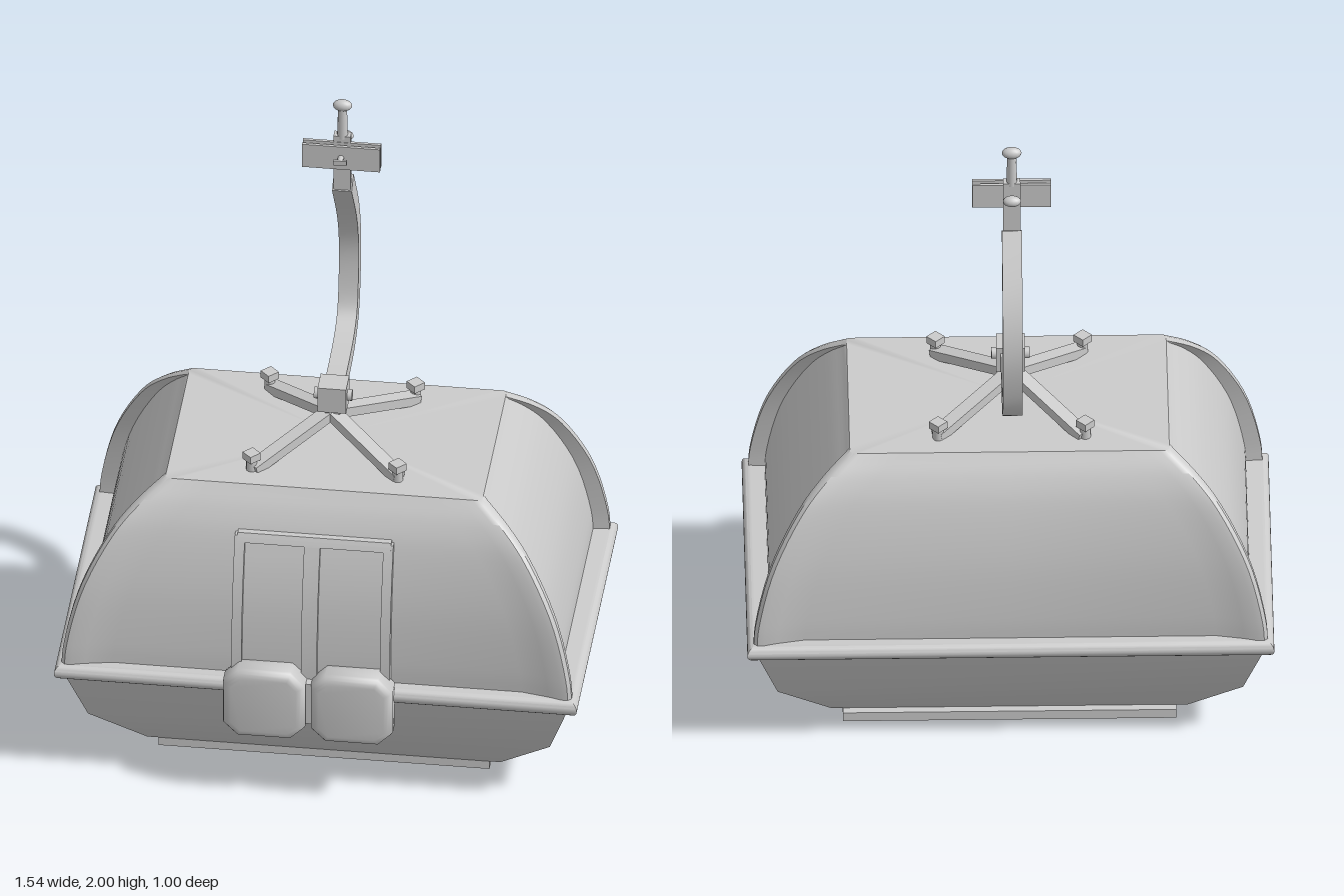
import * as THREE from 'three';
import { toCreasedNormals } from 'three/addons/utils/BufferGeometryUtils.js';

const grey = new THREE.MeshStandardMaterial({ color: 0xcccccc, side: THREE.DoubleSide });
const CZ = -0.018; // cabin centre in z
const V = (x, y, z) => new THREE.Vector3(x, y, z);

function add(parent, name, geo, x = 0, y = 0, z = 0) {
  const mesh = new THREE.Mesh(geo, grey);
  mesh.name = name;
  mesh.position.set(x, y, z);
  parent.add(mesh);
  return mesh;
}

const box = (p, name, w, h, d, x, y, z) => add(p, name, new THREE.BoxGeometry(w, h, d), x, y, z);

// Skin over closed rings stacked from bottom to top, with optional end caps
function loft(rings, crease, capTop, capBottom) {
  const n = rings[0].length, pos = [], idx = [];
  rings.forEach(r => r.forEach(p => pos.push(p.x, p.y, p.z)));
  for (let k = 0; k < rings.length - 1; k++) {
    for (let i = 0; i < n; i++) {
      const a = k * n + i, b = k * n + (i + 1) % n;
      idx.push(a, a + n, b, b, a + n, b + n);
    }
  }
  const cap = (k, flip) => {
    const c = pos.length / 3;
    pos.push(0, rings[k][0].y, 0);
    for (let i = 0; i < n; i++) {
      const a = k * n + i, b = k * n + (i + 1) % n;
      flip ? idx.push(c, a, b) : idx.push(c, b, a);
    }
  };
  if (capTop) cap(rings.length - 1, false);
  if (capBottom) cap(0, true);
  const g = new THREE.BufferGeometry();
  g.setAttribute('position', new THREE.Float32BufferAttribute(pos, 3));
  g.setIndex(idx);
  return toCreasedNormals(g, crease);
}

// Mirror one quadrant of [x, z] points into a full ring at height y
function mirrorRing(q, y) {
  const back = [...q].reverse();
  return [
    ...q.map(([x, z]) => V(x, y, z)),
    ...back.slice(1).map(([x, z]) => V(-x, y, z)),
    ...q.slice(1).map(([x, z]) => V(-x, y, -z)),
    ...back.slice(1, -1).map(([x, z]) => V(x, y, -z)),
  ];
}
const rectRing = (hx, y, hz) => [V(hx, y, hz), V(-hx, y, hz), V(-hx, y, -hz), V(hx, y, -hz)];

// Outline of [z, y] points extruded along x from x0 to x1
function sideExtrude(points, x0, x1) {
  const shape = new THREE.Shape(points.map(([z, y]) => new THREE.Vector2(-z, y)));
  const g = new THREE.ExtrudeGeometry(shape, { depth: x1 - x0, bevelEnabled: false });
  g.rotateY(Math.PI / 2).translate(x0, 0, 0);
  return toCreasedNormals(g, 0.5);
}

// Half width and half depth of the upper cabin by height
const profile = new THREE.CatmullRomCurve3([
  V(0.752, 0.37, 0.46), V(0.746, 0.45, 0.458), V(0.70, 0.64, 0.434),
  V(0.612, 0.815, 0.382), V(0.545, 0.892, 0.338), V(0.467, 0.955, 0.285),
]).getPoints(24);

function frontZ(y) {
  let i = 0;
  while (i < profile.length - 2 && profile[i + 1].y < y) i++;
  const a = profile[i], b = profile[i + 1];
  return a.z + (b.z - a.z) * (y - a.y) / (b.y - a.y) + CZ;
}

function buildCabin(root) {
  const cabin = new THREE.Group();
  cabin.name = 'cabin';
  cabin.position.z = CZ;
  root.add(cabin);

  // Upper shell: raised corner ribs around inset end and side panels
  const rings = profile.map(({ x, y, z }, k) => {
    const t = k / (profile.length - 1);
    const endIn = 0.048 * (1 - t ** 4), sideIn = 0.026 * (1 - t ** 2), w = 0.03, c = 0.01;
    return mirrorRing([
      [x - endIn, 0], [x - endIn, z - w - 0.004], [x, z - w], [x, z - c], [x - c, z],
      [x - w, z], [x - w - 0.04, z - sideIn * 0.4], [x - w - 0.12, z - sideIn], [0, z - sideIn],
    ], y);
  });
  add(cabin, 'upperShell', loft(rings, 0.6, true, false));

  // Lower tub: steep upper band, shallow lower band, sharp corners
  const tub = [[0.52, 0.028, 0.28], [0.68, 0.175, 0.395], [0.738, 0.345, 0.458]];
  add(cabin, 'lowerTub', loft(tub.map(p => rectRing(...p)), 0.55, true, true));
  box(cabin, 'basePlate', 0.975, 0.03, 0.585, 0, 0.015, -0.014);

  // Half-round bumper rail
  const rail = [];
  for (let i = 0; i <= 10; i++) {
    const a = -Math.PI / 2 + i * Math.PI / 10, o = 0.025 * Math.cos(a);
    rail.push(rectRing(0.745 + o, 0.365 + 0.025 * Math.sin(a), 0.455 + o));
  }
  add(cabin, 'bumperRail', loft(rail, 0.6, true, true));
}

function buildDoor(root) {
  const door = new THREE.Group();
  door.name = 'door';
  root.add(door);
  // Strip that follows the curve of the front wall
  const strip = (name, x0, x1, y0, y1, off) => {
    const ys = Array.from({ length: 9 }, (_, i) => y0 + (y1 - y0) * i / 8);
    const outer = ys.map(y => [frontZ(y) + off, y]);
    const inner = ys.map(y => [frontZ(y) - 0.04, y]).reverse();
    add(door, name, sideExtrude([...outer, ...inner], x0, x1));
  };
  strip('doorPanels', -0.23, 0.2, 0.38, 0.82, -0.014);
  strip('frameRight', -0.25, -0.22, 0.38, 0.835, 0.004);
  strip('frameLeft', 0.188, 0.217, 0.38, 0.835, 0.004);
  strip('frameTop', -0.242, 0.21, 0.815, 0.842, 0.004);
  strip('centrePost', -0.045, 0.002, 0.38, 0.815, 0.002);
}

function buildRacks(root) {
  // Two soft-edged ski boxes on the front
  const hw = 0.096, hh = 0.09, c = 0.028;
  const s = new THREE.Shape([[-hw + c, -hh], [hw - c, -hh], [hw, -hh + c], [hw, hh - c],
    [hw - c, hh], [-hw + c, hh], [-hw, hh - c], [-hw, -hh + c]].map(p => new THREE.Vector2(...p)));
  const geo = toCreasedNormals(new THREE.ExtrudeGeometry(s, {
    depth: 0.04, bevelThickness: 0.025, bevelSize: 0.025, bevelSegments: 4,
  }), 0.9);
  for (const x of [-0.148, 0.11]) add(root, 'skiBox', geo, x, 0.33, 0.438);
  box(root, 'skiBoxJoint', 0.05, 0.14, 0.03, -0.018, 0.33, 0.455);
}

function buildHanger(root) {
  const hanger = new THREE.Group();
  hanger.name = 'hanger';
  hanger.position.x = -0.007;
  root.add(hanger);

  // Four roof struts with bolted feet
  const top = V(0, 1.038, -0.015);
  for (const sx of [-1, 1]) for (const sz of [-1, 1]) {
    const foot = V(sx * 0.215, 0.96, -0.02 + sz * 0.21);
    const strut = box(hanger, 'roofStrut', 0.042, 0.03, top.distanceTo(foot), 0, 0, 0);
    strut.position.copy(top).lerp(foot, 0.5);
    strut.lookAt(foot);
    add(hanger, 'footBolt', new THREE.CylinderGeometry(0.016, 0.016, 0.06, 12), foot.x, 0.98, foot.z);
    const cap = box(hanger, 'footCap', 0.038, 0.024, 0.038, foot.x, 1.002, foot.z);
    cap.rotation.y = Math.PI / 4;
  }

  // Hub block and its pivot pin
  box(hanger, 'hub', 0.084, 0.084, 0.075, 0, 1.102, -0.013);
  box(hanger, 'hubNeck', 0.045, 0.05, 0.045, 0, 1.045, -0.014);
  add(hanger, 'hubPin', new THREE.CylinderGeometry(0.017, 0.017, 0.112, 12).rotateZ(Math.PI / 2), 0, 1.102, -0.013);

  // Curved square arm
  const path = new THREE.SplineCurve([[-0.04, 1.098], [-0.16, 1.10], [-0.275, 1.115], [-0.355, 1.165],
    [-0.39, 1.27], [-0.395, 1.40], [-0.35, 1.53], [-0.23, 1.705]].map(p => new THREE.Vector2(...p)));
  const sideA = [], sideB = [];
  for (let i = 0; i <= 32; i++) {
    const p = path.getPoint(i / 32), t = path.getTangent(i / 32);
    sideA.push([p.x - t.y * 0.028, p.y + t.x * 0.028]);
    sideB.unshift([p.x + t.y * 0.028, p.y - t.x * 0.028]);
  }
  add(hanger, 'arm', sideExtrude([...sideA, ...sideB], -0.029, 0.029));

  // Cable grip: post, head, clamp plates and clamp bolt
  const z = -0.224;
  box(hanger, 'gripPost', 0.05, 0.19, 0.028, 0, 1.785, z);
  add(hanger, 'gripRod', new THREE.CylinderGeometry(0.013, 0.016, 0.11, 12), 0, 1.925, z);
  const head = add(hanger, 'gripHead', new THREE.SphereGeometry(0.018, 14, 10), 0, 1.982, z);
  head.scale.set(1.6, 1, 1);
  for (const pz of [-0.19, -0.213]) box(hanger, 'clampPlate', 0.23, 0.08, 0.009, 0, 1.82, pz);
  const bolt = add(hanger, 'clampBolt', new THREE.CylinderGeometry(0.009, 0.009, 0.11, 10).rotateX(Math.PI / 2), 0, 1.825, -0.215);
  bolt.rotation.x = 0.12;
  box(hanger, 'boltHead', 0.04, 0.016, 0.008, 0, 1.82, -0.163);
  const knob = add(hanger, 'boltKnob', new THREE.SphereGeometry(0.018, 14, 10), 0, 1.842, -0.272);
  knob.scale.set(1.5, 0.9, 1);
}

export function createModel() {
  const root = new THREE.Group();
  root.name = 'cableCar';
  buildCabin(root);
  buildDoor(root);
  buildRacks(root);
  buildHanger(root);
  return root;
}
